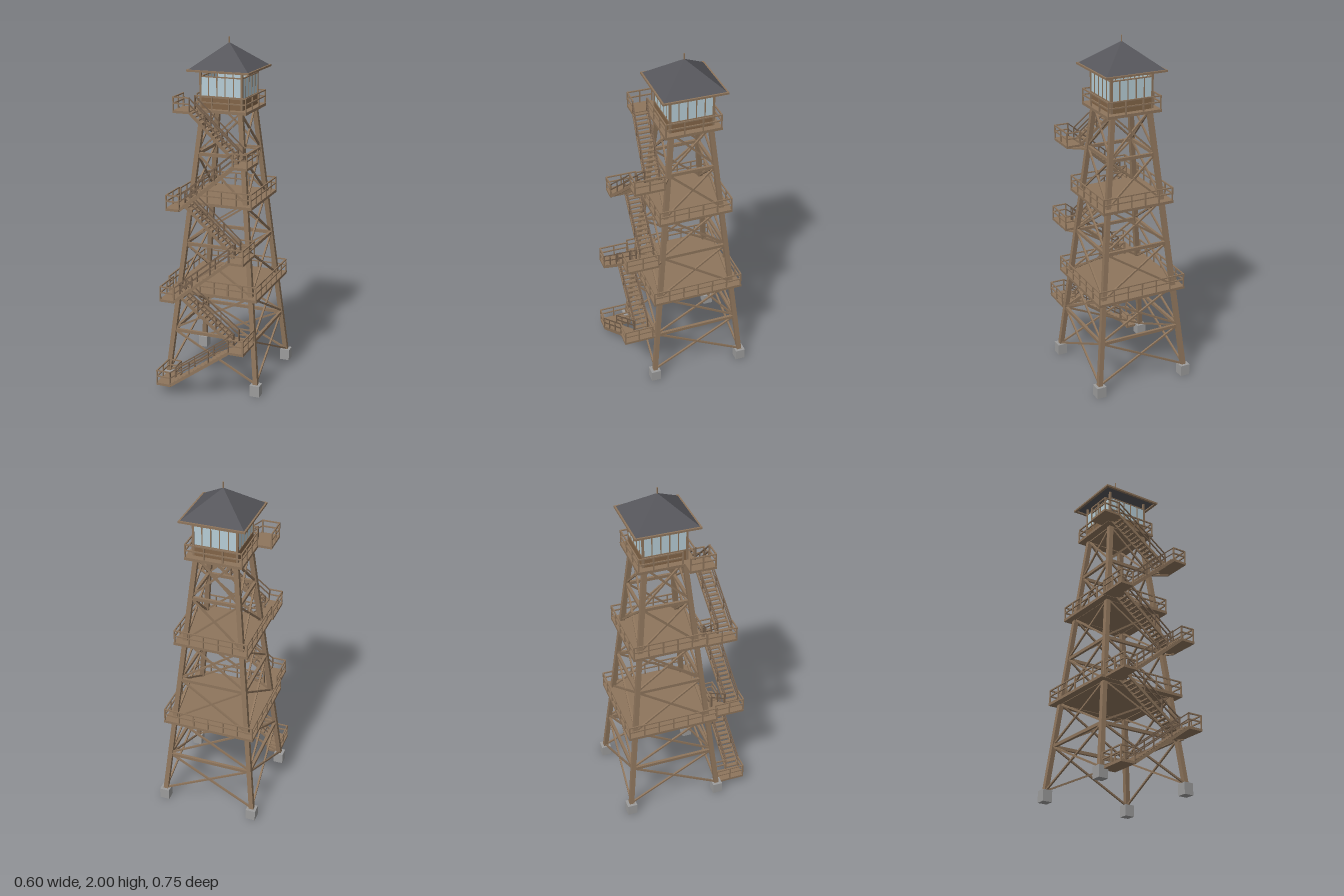
import * as THREE from 'three';
import { mergeGeometries } from 'three/addons/utils/BufferGeometryUtils.js';

const ZC = -0.0775; // tower axis in z
const half = (y) => 0.278 - 0.1035 * y; // leg spread at a height
const V = (x, y, z) => new THREE.Vector3(x, y, z);

const mat = (name, color) => {
  const m = new THREE.MeshStandardMaterial({ color });
  m.name = name;
  return m;
};

// box centred at a point
const box = (w, h, d, x, y, z) => new THREE.BoxGeometry(w, h, d).translate(x, y, z);

// flat deck from its edges in x and z and its top height
const slab = (x0, x1, z0, z1, top, t) =>
  box(x1 - x0, t, z1 - z0, (x0 + x1) / 2, top - t / 2, (z0 + z1) / 2);

// square beam between two points
function beam(a, b, w, h = w) {
  const g = new THREE.BoxGeometry(w, h, a.distanceTo(b));
  const o = new THREE.Object3D();
  o.position.copy(a).add(b).multiplyScalar(0.5);
  o.lookAt(b);
  o.updateMatrix();
  return g.applyMatrix4(o.matrix);
}

// upright post sheared to lean with the tower, keeping its sides square
function leg([sx, sz]) {
  const g = box(0.027, 1.56, 0.027, 0, 0.82, 0);
  const p = g.attributes.position;
  for (let i = 0; i < p.count; i++) {
    const h = half(p.getY(i));
    p.setX(i, p.getX(i) + sx * h);
    p.setZ(i, p.getZ(i) + ZC + sz * h);
  }
  g.computeVertexNormals();
  return g;
}

// two rails with posts along a line; also works on a slope
function railing(a, b, spacing = 0.09, w = 0.007) {
  const out = [];
  const up = (p, h) => V(p.x, p.y + h, p.z);
  for (const h of [0.04, 0.074]) out.push(beam(up(a, h), up(b, h), w));
  const n = Math.max(1, Math.round(a.distanceTo(b) / spacing));
  for (let i = 0; i <= n; i++) {
    const p = a.clone().lerp(b, i / n);
    out.push(box(w, 0.077, w, p.x, p.y + 0.0385, p.z));
  }
  return out;
}

export function createModel() {
  const wood = mat('wood', 0x8e755c);
  const railWood = mat('rail wood', 0x75604d);
  const wallBrown = mat('wall brown', 0x826548);
  const roofGrey = mat('roof grey', 0x56565b);
  const concrete = mat('concrete', 0x9c9c9c);
  const glass = mat('glass', 0xb6cdd6);

  const model = new THREE.Group();
  model.name = 'lookoutTower';
  const add = (name, geos, material) => {
    const mesh = new THREE.Mesh(mergeGeometries(geos), material);
    mesh.name = name;
    model.add(mesh);
  };

  // corner k of the tower at height y
  const signs = [[1, 1], [1, -1], [-1, -1], [-1, 1]];
  const corner = (k, y) => {
    const [sx, sz] = signs[k % 4];
    return V(sx * half(y), y, ZC + sz * half(y));
  };

  // footings and legs
  add('footings', signs.map(([sx, sz]) => box(0.057, 0.066, 0.057, sx * 0.2725, 0.033, ZC + sz * 0.2725)), concrete);
  add('legs', signs.map(leg), wood);

  // horizontal girts and crossed braces on each side
  const levels = [0.065, 0.325, 0.575, 0.845, 1.095, 1.365, 1.61];
  const girts = [], braces = [];
  for (let i = 0; i < 6; i++) {
    for (let k = 0; k < 4; k++) {
      const lo = levels[i], hi = levels[i + 1] - 0.01;
      braces.push(beam(corner(k, lo), corner(k + 1, hi), 0.01));
      braces.push(beam(corner(k + 1, lo), corner(k, hi), 0.01));
      girts.push(beam(corner(k, hi), corner(k + 1, hi), 0.016, 0.018));
    }
  }
  add('girts', girts, wood);
  add('crossBraces', braces, wood);

  // platforms with railings, open where the stairs arrive
  const decks = [], rails = [], struts = [];
  for (const [y, gapX, gapZ] of [[0.575, -0.16, 0], [1.094, -0.14, 0], [1.613, -0.14, 0.07]]) {
    const h = half(y) + 0.051, e = h - 0.005;
    decks.push(slab(-h, h, ZC - h, ZC + h, y, 0.016));
    const f = ZC + e, b = ZC - e;
    rails.push(
      ...railing(V(-e, y, b), V(e, y, b)),
      ...railing(V(e, y, b), V(e, y, f)),
      ...railing(V(gapX, y, f), V(e, y, f)),
      ...railing(V(-e, y, b), V(-e, y, f - gapZ)),
    );
  }

  // landings: x0, x1, z0, z1, y
  const landings = [
    [-0.271, -0.185, 0.2, 0.375, 0.062],
    [0.17, 0.258, 0.195, 0.37, 0.32],
    [-0.245, -0.16, 0.185, 0.366, 0.575],
    [0.16, 0.245, 0.15, 0.342, 0.835],
    [-0.225, -0.145, 0.13, 0.312, 1.094],
    [0.16, 0.245, 0.112, 0.287, 1.354],
    [-0.24, -0.14, 0.02, 0.168, 1.613],
  ];
  landings.forEach(([x0, x1, z0, z1, y], i) => {
    decks.push(slab(x0, x1, z0, z1, y, 0.014));
    const right = i % 2 === 1;
    const outer = right ? x1 - 0.004 : x0 + 0.004;
    const inner = right ? x0 : x1;
    rails.push(...railing(V(outer, y, z0 + 0.004), V(outer, y, z1 - 0.004)));
    rails.push(...railing(V(inner, y, z1 - 0.004), V(outer, y, z1 - 0.004)));
    if (right) {
      rails.push(...railing(V(inner, y, z0 + 0.004), V(outer, y, z0 + 0.004)));
      // supports back to the leg
      for (const x of [x0 + 0.01, x1 - 0.01]) {
        struts.push(beam(V(x, y - 0.015, z0 + 0.02), corner(0, y - 0.015), 0.01));
      }
    }
  });
  rails.push(...railing(V(-0.189, 0.062, 0.204), V(-0.189, 0.062, 0.29)));
  rails.push(...railing(V(-0.266, 0.062, 0.204), V(-0.189, 0.062, 0.204)));
  add('decks', decks, wood);
  add('platformRailings', rails, wood);
  add('landingSupports', struts, wood);

  // stair flights: start x, y, z centre, then end x, y, z centre
  const flights = [
    [-0.185, 0.062, 0.333, 0.17, 0.32, 0.328],
    [0.17, 0.32, 0.242, -0.16, 0.575, 0.236],
    [-0.16, 0.575, 0.32, 0.16, 0.835, 0.3],
    [0.16, 0.835, 0.198, -0.145, 1.094, 0.183],
    [-0.145, 1.094, 0.265, 0.16, 1.354, 0.242],
    [0.16, 1.354, 0.16, -0.14, 1.613, 0.126],
  ];
  const treads = [], stringers = [], stairRails = [];
  for (const [x0, y0, z0, x1, y1, z1] of flights) {
    const a = V(x0, y0, z0), b = V(x1, y1, z1), n = 15;
    for (let i = 0; i < n; i++) {
      const p = a.clone().lerp(b, (i + 0.5) / n);
      treads.push(box(Math.abs(x1 - x0) / n, 0.007, 0.078, p.x, p.y, p.z));
    }
    for (const s of [-0.04, 0.04]) {
      const side = V(0, 0, s);
      const p = a.clone().add(side), q = b.clone().add(side);
      stairRails.push(...railing(p, q, 0.14, 0.006));
      const drop = V(0, -0.006, 0);
      stringers.push(beam(p.clone().add(drop), q.clone().add(drop), 0.006, 0.016));
    }
  }
  add('stairTreads', treads, wood);
  add('stairStringers', stringers, wood);
  add('stairRailings', stairRails, railWood);

  // cabin walls, window bands, posts and mullions, with eave boards above
  const c = 0.122, walls = [], panes = [], posts = [], eaves = [];
  for (let k = 0; k < 4; k++) {
    const place = (g) => g.rotateY((k * Math.PI) / 2).translate(0, 0, ZC);
    walls.push(place(box(2 * c, 0.066, 0.008, 0, 1.643, c)));
    panes.push(place(box(2 * c, 0.114, 0.004, 0, 1.733, c)));
    posts.push(place(box(0.012, 0.216, 0.012, c, 1.722, c)));
    for (const y of [1.676, 1.79]) posts.push(place(box(2 * c, 0.006, 0.01, 0, y, c)));
    for (let i = 1; i < 5; i++) {
      posts.push(place(box(0.006, 0.112, 0.009, -c + (i * 2 * c) / 5, 1.733, c)));
    }
    eaves.push(place(box(0.366, 0.011, 0.014, 0, 1.826, 0.176)));
  }
  add('cabinWalls', walls, wallBrown);
  add('cabinWindows', panes, glass);
  add('cabinFrames', posts, wood);
  add('eaveBoards', eaves, wood);

  // roof and finial
  const roof = new THREE.ConeGeometry(0.1775 * Math.SQRT2, 0.14, 4, 1)
    .rotateY(Math.PI / 4).toNonIndexed();
  roof.computeVertexNormals();
  add('roof', [roof.translate(0, 1.8985, ZC)], roofGrey);
  add('finial', [new THREE.CylinderGeometry(0.004, 0.004, 0.045, 8).translate(0, 1.9775, ZC)], wood);

  return model;
}
